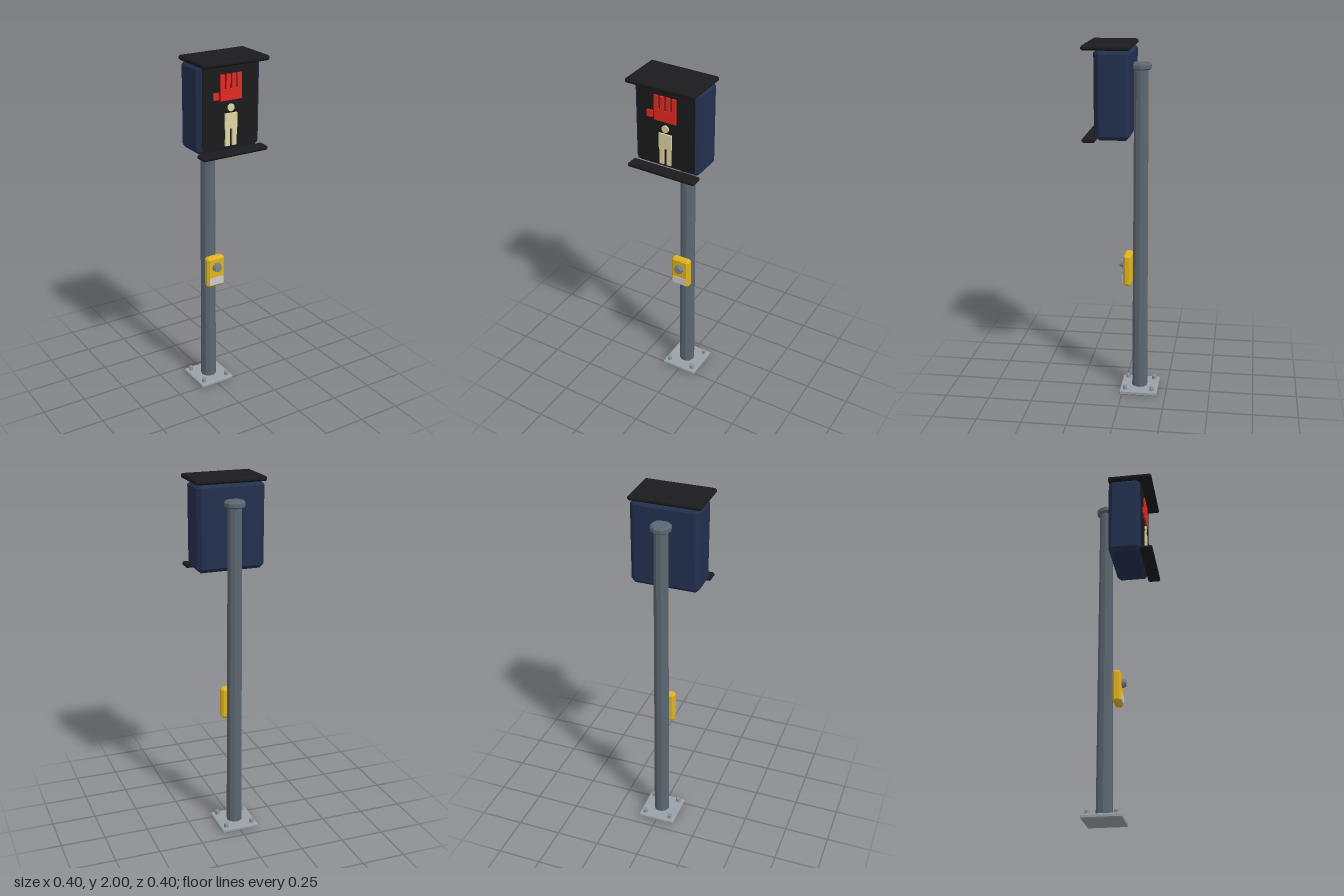
import * as THREE from 'three';
import { ConvexGeometry } from 'three/addons/geometries/ConvexGeometry.js';

const mat = (color) => new THREE.MeshStandardMaterial({ color, flatShading: true });
const steel = mat(0x5c6771), plateGrey = mat(0x99a0a6), boltGrey = mat(0x8a9299);
const navy = mat(0x22304f), black = mat(0x1b1b1d), yellow = mat(0xe0b41f);
const red = mat(0xe32a22), cream = mat(0xe0d6a2), silver = mat(0xc8cacc), buttonGrey = mat(0x7d858c);

export function createModel() {
  const model = new THREE.Group();
  const poleZ = -0.093;

  function add(name, geometry, material, x = 0, y = 0, z = 0) {
    const mesh = new THREE.Mesh(geometry, material);
    mesh.name = name;
    mesh.position.set(x, y, z);
    model.add(mesh);
    return mesh;
  }

  // Box with every edge chamfered by c, given by its lower and upper limits
  function chamferBox(name, material, [x0, x1], [y0, y1], [z0, z1], c) {
    const a = (x1 - x0) / 2, b = (y1 - y0) / 2, d = (z1 - z0) / 2;
    const points = [];
    for (const i of [-1, 1]) for (const j of [-1, 1]) for (const k of [-1, 1]) {
      points.push(
        new THREE.Vector3(i * a, j * (b - c), k * (d - c)),
        new THREE.Vector3(i * (a - c), j * b, k * (d - c)),
        new THREE.Vector3(i * (a - c), j * (b - c), k * d));
    }
    return add(name, new ConvexGeometry(points), material, (x0 + x1) / 2, (y0 + y1) / 2, (z0 + z1) / 2);
  }

  // Plain box given by its limits
  function box(name, material, [x0, x1], [y0, y1], [z0, z1]) {
    return add(name, new THREE.BoxGeometry(x1 - x0, y1 - y0, z1 - z0), material,
      (x0 + x1) / 2, (y0 + y1) / 2, (z0 + z1) / 2);
  }

  // Disc whose axis points forward
  function disc(name, material, radius, sides, y, z0, z1) {
    const geometry = new THREE.CylinderGeometry(radius, radius, z1 - z0, sides).rotateX(Math.PI / 2);
    return add(name, geometry, material, 0, y, (z0 + z1) / 2);
  }

  // Base plate with four hexagonal bolts
  chamferBox('basePlate', plateGrey, [-0.108, 0.108], [0, 0.024], [poleZ - 0.108, poleZ + 0.108], 0.005);
  for (const sx of [-1, 1]) for (const sz of [-1, 1]) {
    const bolt = new THREE.CylinderGeometry(0.0135, 0.0135, 0.026, 6).rotateY(Math.PI / 6);
    add('bolt', bolt, boltGrey, sx * 0.077, 0.033, poleZ + sz * 0.077);
  }

  // Tapered ten-sided pole and its bevelled cap
  add('pole', new THREE.CylinderGeometry(0.039, 0.045, 1.845, 10).rotateY(Math.PI / 2), steel, 0, 0.9425, poleZ);
  const capProfile = [[0, 1.857], [0.047, 1.857], [0.057, 1.865], [0.057, 1.884], [0.047, 1.894], [0, 1.894]]
    .map(([r, y]) => new THREE.Vector2(r, y));
  add('poleCap', new THREE.LatheGeometry(capProfile, 10).rotateY(Math.PI / 2), steel, 0, 0, poleZ);

  // Signal housing, face panel and hoods
  chamferBox('signalHousing', navy, [-0.19, 0.19], [1.505, 1.977], [-0.053, 0.132], 0.022);
  box('facePanel', black, [-0.167, 0.167], [1.527, 1.962], [0.12, 0.137]);
  chamferBox('topHood', black, [-0.198, 0.198], [1.974, 2], [-0.055, 0.2], 0.008);
  chamferBox('bottomHood', black, [-0.198, 0.198], [1.494, 1.517], [0.129, 0.2], 0.007);

  // Stop hand: palm, four fingers and thumb
  const signZ = [0.13, 0.146];
  box('handPalm', red, [-0.063, 0.063], [1.783, 1.842], signZ);
  for (let i = 0; i < 4; i++) {
    const x = -0.051 + i * 0.034;
    box('handFinger', red, [x - 0.012, x + 0.012], [1.842, 1.92], signZ);
  }
  box('handThumb', red, [-0.106, -0.074], [1.792, 1.829], signZ);

  // Walking figure: head, and a body with a slot between the legs
  disc('figureHead', cream, 0.02, 14, 1.742, ...signZ);
  const body = new THREE.Shape([
    [-0.034, 1.538], [-0.008, 1.538], [-0.008, 1.63], [0.008, 1.63], [0.008, 1.538], [0.034, 1.538],
    [0.034, 1.63], [0.037, 1.63], [0.037, 1.713], [-0.037, 1.713], [-0.037, 1.63], [-0.034, 1.63],
  ].map(([x, y]) => new THREE.Vector2(x, y)));
  add('figureBody', new THREE.ExtrudeGeometry(body, { depth: 0.016, bevelEnabled: false }), cream, 0, 0, signZ[0]);

  // Push-button box with button and label plate
  chamferBox('buttonBox', yellow, [-0.056, 0.056], [0.647, 0.831], [-0.047, 0], 0.012);
  disc('buttonCollar', buttonGrey, 0.027, 14, 0.77, -0.005, 0.012);
  disc('button', buttonGrey, 0.022, 14, 0.77, 0.01, 0.023);
  box('labelPlate', silver, [-0.044, 0.044], [0.661, 0.706], [-0.005, 0.003]);

  return model;
}
